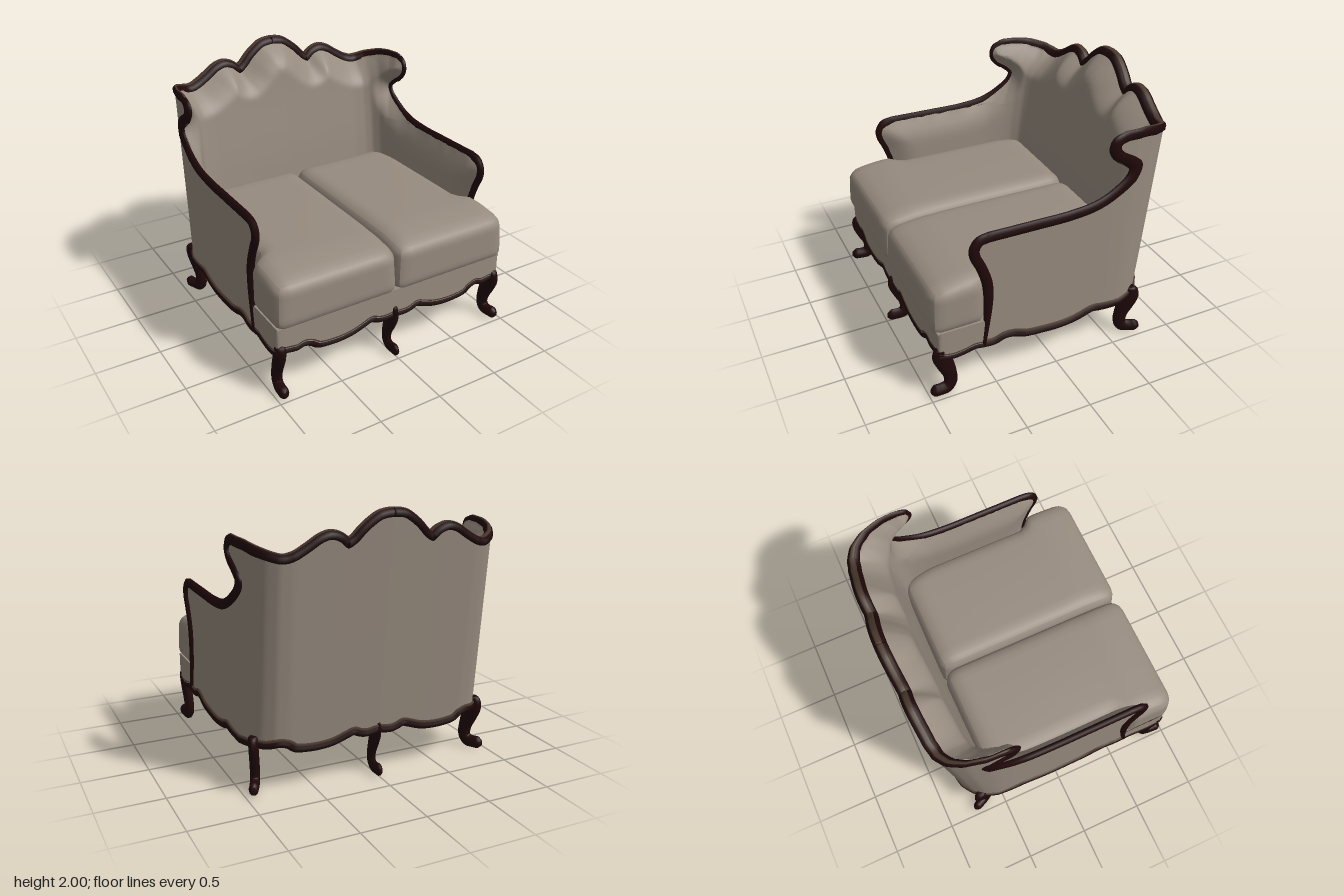
import * as THREE from 'three';
import { mergeGeometries, mergeVertices } from 'three/addons/utils/BufferGeometryUtils.js';

const { lerp, clamp, smoothstep } = THREE.MathUtils;
const fabric = new THREE.MeshStandardMaterial({ color: 0x978b7f, side: THREE.DoubleSide });
fabric.name = 'taupe fabric';
const wood = new THREE.MeshStandardMaterial({ color: 0x200809 });
wood.name = 'dark mahogany';
const edging = new THREE.MeshStandardMaterial({ color: 0x4a392e });
edging.name = 'brown edging';

// Half plan, from back centre round the side to front centre:
// distance s, outer x, outer z, inner x, inner z
const PLAN = [
  [-1.65, 0, -0.82, 0, -0.56], [-1.25, 0.4, -0.815, 0.37, -0.555], [-0.95, 0.7, -0.805, 0.65, -0.545],
  [-0.86, 0.79, -0.785, 0.735, -0.53], [-0.76, 0.87, -0.73, 0.79, -0.505], [-0.66, 0.93, -0.65, 0.835, -0.46],
  [-0.55, 0.965, -0.55, 0.86, -0.41], [-0.42, 0.97, -0.42, 0.872, -0.35], [-0.3, 0.97, -0.3, 0.88, -0.28],
  [0.84, 0.97, 0.84, 0.88, 0.84], [0.92, 0.97, 0.92, 0.89, 0.84], [1.0, 0.89, 0.92, 0.89, 0.84],
  [1.89, 0, 0.92, 0, 0.84],
];
// Scalloped lower edge: distance s, height
const APRON = [
  [-1.65, 0.37], [-1.55, 0.355], [-1.5, 0.365], [-1.45, 0.385], [-1.4, 0.37], [-1.3, 0.335], [-1.2, 0.32],
  [-1.1, 0.32], [-1, 0.335], [-0.95, 0.37], [-0.89, 0.385], [-0.8, 0.37], [-0.7, 0.37], [-0.5, 0.36],
  [-0.38, 0.37], [-0.3, 0.38], [-0.2, 0.35], [-0.1, 0.33], [0, 0.325], [0.1, 0.33], [0.25, 0.345],
  [0.35, 0.38], [0.42, 0.385], [0.5, 0.36], [0.58, 0.365], [0.65, 0.375], [0.72, 0.36], [0.82, 0.35],
  [0.92, 0.37], [0.98, 0.385], [1.07, 0.375], [1.13, 0.39], [1.19, 0.37], [1.24, 0.335], [1.34, 0.32],
  [1.44, 0.32], [1.54, 0.335], [1.64, 0.37], [1.69, 0.385], [1.74, 0.365], [1.79, 0.355], [1.89, 0.36],
];

function lookup(table, x) {
  let i = 1;
  while (i < table.length - 1 && x > table[i][0]) i++;
  const a = table[i - 1], b = table[i];
  const k = clamp((x - a[0]) / (b[0] - a[0]), 0, 1);
  return a.map((v, j) => lerp(v, b[j], k));
}

const smooth = (pts, n) => new THREE.CatmullRomCurve3(
  pts.map(p => new THREE.Vector3(p[0], p[1], p[2] || 0)), false, 'centripetal').getPoints(n).map(p => p.toArray());

// Show-wood outline: arm front, arm top and wing, crest scallops
const FRONT = smooth([[0.585, 0.37], [0.56, 0.55], [0.545, 0.75], [0.555, 0.9], [0.6, 1.04], [0.64, 1.13],
  [0.645, 1.19], [0.61, 1.245], [0.54, 1.262]], 50);
const WING = smooth([[0.54, 1.262], [0.2, 1.26], [-0.1, 1.262], [-0.3, 1.29], [-0.45, 1.36], [-0.54, 1.45],
  [-0.555, 1.52], [-0.51, 1.58], [-0.43, 1.65], [-0.405, 1.7], [-0.42, 1.75], [-0.48, 1.78]], 110);
const CREST = smooth([[-0.48, 1.78], [-0.6, 1.77], [-0.72, 1.735], [-0.88, 1.695], [-0.95, 1.71], [-1.05, 1.765],
  [-1.13, 1.815], [-1.2, 1.835], [-1.27, 1.815], [-1.33, 1.765]], 60);
const CROWN = smooth([[-1.33, 1.765], [-1.38, 1.8], [-1.45, 1.87], [-1.55, 1.94], [-1.6, 1.953], [-1.65, 1.957]], 30);
const RAIL = [...FRONT, ...WING.slice(1), ...CREST.slice(1), ...CROWN.slice(1)];
const TOP = RAIL.filter(p => p[0] < -0.4 && p[1] > 1.69).reverse();
const swap = pts => pts.map(p => [p[1], p[0]]);
const FRONT_EDGE = swap(FRONT);
const WING_EDGE = swap(WING.filter(p => p[0] < -0.05));

// Place a point of the unrolled shell: d is inset in units, f blends to the inner plan
const shellMap = m => (s, y, d = 0, f = 0) => {
  const [, xo, zo, xi, zi] = lookup(PLAN, s);
  const k = f + d / Math.hypot(xi - xo, zi - zo);
  const lean = 0.107 * (y - 0.4) * smoothstep(-zo, 0.4, 0.78);
  return [m * lerp(xo, xi, k), y, lerp(zo, zi, k) - lean];
};

function build(pos, index) {
  const g = new THREE.BufferGeometry();
  g.setAttribute('position', new THREE.Float32BufferAttribute(pos, 3));
  g.setIndex(index);
  g.computeVertexNormals();
  return g;
}

function gridGeometry(nu, nv, point, flip) {
  const pos = [], idx = [];
  for (let j = 0; j <= nv; j++) for (let i = 0; i <= nu; i++) pos.push(...point(i / nu, j / nv));
  for (let j = 0; j < nv; j++) for (let i = 0; i < nu; i++) {
    const a = j * (nu + 1) + i, b = a + 1, c = a + nu + 1, d = c + 1;
    idx.push(...(flip ? [a, c, b, b, c, d] : [a, b, c, b, d, c]));
  }
  return build(pos, idx);
}

// Join grids along their shared edges into one smooth skin
function joinSkin(grids) {
  const merged = mergeGeometries(grids);
  merged.deleteAttribute('normal');
  const skin = mergeVertices(merged, 1e-4);
  skin.computeVertexNormals();
  return skin;
}

// Sweep an oval section along a flat path; section(p) gives [in-plane half, depth half, depth centre, in-plane shift]
function sweep(path, section, map, sides = 8) {
  const pos = [], idx = [], n = path.length;
  path.forEach((p, i) => {
    const a = path[Math.max(i - 1, 0)], b = path[Math.min(i + 1, n - 1)];
    const len = Math.hypot(b[0] - a[0], b[1] - a[1]) || 1;
    const nx = -(b[1] - a[1]) / len, ny = (b[0] - a[0]) / len;
    const [r, h, c, shift = 0] = section(p);
    for (let k = 0; k < sides; k++) {
      const t = (k + 0.5) / sides * Math.PI * 2, q = r * Math.cos(t) * 1.06 + shift;
      pos.push(...map(p[0] + nx * q, p[1] + ny * q, c + h * Math.sin(t) * 1.06));
    }
  });
  for (let i = 0; i < n - 1; i++) for (let k = 0; k < sides; k++) {
    const a = i * sides + k, b = i * sides + (k + 1) % sides;
    idx.push(a, b, a + sides, b, b + sides, a + sides);
  }
  for (let k = 1; k < sides - 1; k++) {
    const e = (n - 1) * sides;
    idx.push(0, k + 1, k, e, e + k, e + k + 1);
  }
  // turn the faces outward by the sign of the volume
  let volume = 0;
  const v = k => new THREE.Vector3().fromArray(pos, idx[k] * 3);
  for (let k = 0; k < idx.length; k += 3) volume += v(k).dot(v(k + 1).cross(v(k + 2)));
  if (volume < 0) idx.reverse();
  return build(pos, idx);
}

// Seat cushion: soft top edges, tighter lower edges, front lobe wider than the space between the arms
function cushionGeometry(m) {
  const half = [0.4925, 0.1975, 0.7775];
  const g = new THREE.BoxGeometry(...half.map(c => c * 2), 18, 12, 26);
  const p = g.attributes.position, v = new THREE.Vector3(), core = new THREE.Vector3();
  for (let i = 0; i < p.count; i++) {
    v.fromBufferAttribute(p, i);
    const r = lerp(0.065, 0.115, smoothstep(v.y, -half[1], half[1]));
    core.set(...v.toArray().map((c, k) => clamp(c, -half[k] + r, half[k] - r)));
    v.sub(core).normalize().multiplyScalar(r).add(core);
    const z = v.z + 0.1875, up = Math.max(0, v.y / half[1]);
    const x = (v.x + 0.4925) * lerp(0.9, 1, smoothstep(z, 0.5, 0.62)) * (1 - 0.05 * smoothstep(-z, 0.3, 0.6));
    const crown = 0.012 * (1 - (v.x / half[0]) ** 2) * (1 - (v.z / half[2]) ** 2);
    p.setXYZ(i, m * x, v.y + 0.7575 + up * (crown - 0.03 * smoothstep(z, 0.65, 0.95)), z);
  }
  if (m < 0) g.index.array.reverse();
  g.computeVertexNormals();
  return g;
}

// Cabriole leg: offset along its facing, height, thickness
const LEG = smooth([[0, 0.43, 0.03], [0, 0.41, 0.052], [0, 0.35, 0.066], [-0.03, 0.26, 0.062], [-0.06, 0.17, 0.05],
  [-0.065, 0.09, 0.048], [-0.035, 0.052, 0.05], [0.02, 0.048, 0.045], [0.06, 0.052, 0.045], [0.09, 0.056, 0.02]], 32);
function legGeometry(x, z, angle, width) {
  const c = Math.cos(angle), s = Math.sin(angle);
  return sweep(LEG, p => [p[2], width * Math.min(1, p[2] / 0.045), 0],
    (u, y, d) => [x + u * s + d * c, Math.max(y, 0), z + u * c - d * s], 10);
}

export function createModel() {
  const model = new THREE.Group();
  const add = (name, geometry, material) => {
    const mesh = new THREE.Mesh(geometry, material);
    mesh.name = name;
    model.add(mesh);
  };
  const apron = s => lookup(APRON, s)[1];
  const padding = (s, y) => {
    const gap = Math.min(...RAIL.map(p => Math.hypot(p[0] - s, p[1] - y)));
    return 0.2 + 0.8 * Math.sqrt(smoothstep(gap, 0, 0.2)) * (1 - 0.1 * smoothstep(y, 1, 1.7));
  };
  // upholstery bands (arms and lower back, wings, scalloped top) share their columns behind s = -0.6
  const column = (edge, u) => u < 0.3 ? lerp(edge, -0.6, u / 0.3) : lerp(-0.6, -1.65, (u - 0.3) / 0.7);
  const bands = [
    [20, (u, v) => {
      const s = column(lookup(FRONT_EDGE, lerp(0.37, 1.262, v))[1], u);
      return [s, lerp(apron(s), 1.262, v)];
    }],
    [22, (u, v) => {
      const y = lerp(1.262, 1.69, v);
      return [column(lookup(WING_EDGE, y)[1], u), y];
    }],
    [8, (u, v) => {
      const s = column(lookup(WING_EDGE, 1.69)[1], u);
      return [s, lerp(1.69, Math.max(1.692, lookup(TOP, s)[1]), v)];
    }],
  ];

  for (const m of [1, -1]) {
    const side = m > 0 ? 'left' : 'right', at = shellMap(m);
    const skin = (flip, point) => joinSkin(bands.map(([nv, place]) =>
      gridGeometry(70, nv, (u, v) => point(...place(u, v)), flip)));
    add(side + 'OuterUpholstery', skin(m < 0, (s, y) => at(s, y)), fabric);
    add(side + 'InnerUpholstery', skin(m > 0, (s, y) => at(s, y, 0, padding(s, y))), fabric);

    // carved rail round arm, wing and crest
    const back = s => smoothstep(-s, 0.5, 0.95);
    add(side + 'ShowRail', sweep(RAIL, ([s, y]) =>
      [lerp(0.017, 0.037, smoothstep(y, 0.38, 0.9)), lerp(0.024, 0.047, back(s)), 0.035 * back(s)], at), wood);
    add(side + 'CrestEdging', sweep(RAIL.filter(p => p[0] < -0.45 && p[1] > 1.6),
      ([s]) => [0.006, lerp(0.01, 0.022, back(s)), 0.035 * back(s), -0.035], at, 6), edging);

    // scalloped apron with its edging
    const lower = smooth(APRON, 160);
    add(side + 'Apron', sweep(lower, () => [0.026, 0.026, 0.006, -0.004], at), wood);
    add(side + 'ApronEdging', sweep(lower, () => [0.013, 0.022, 0.006, 0.025], at, 6), edging);

    // seat front and cushion
    add(side + 'SeatFront', gridGeometry(66, 2, (u, v) => {
      const s = lerp(0.57, 1.89, u);
      return at(s, lerp(apron(s), 0.572, v), -0.012);
    }, m > 0), fabric);
    add(side + 'SeatCushion', cushionGeometry(m), fabric);

    add(side + 'FrontLeg', legGeometry(m * 0.945, 0.9, m * 0.08, 0.036), wood);
    add(side + 'BackLeg', legGeometry(m * 0.915, -0.68, m * 2.7, 0.034), wood);
  }

  // top of the seat front, under the cushion lobes
  const deck = new THREE.BoxGeometry(1.95, 0.012, 0.36);
  deck.translate(0, 0.566, 0.75);
  add('seatFrontDeck', deck, fabric);

  add('middleFrontLeg', legGeometry(0, 0.9, 0, 0.024), wood);
  add('middleBackLeg', legGeometry(0, -0.775, Math.PI, 0.024), wood);
  return model;
}
